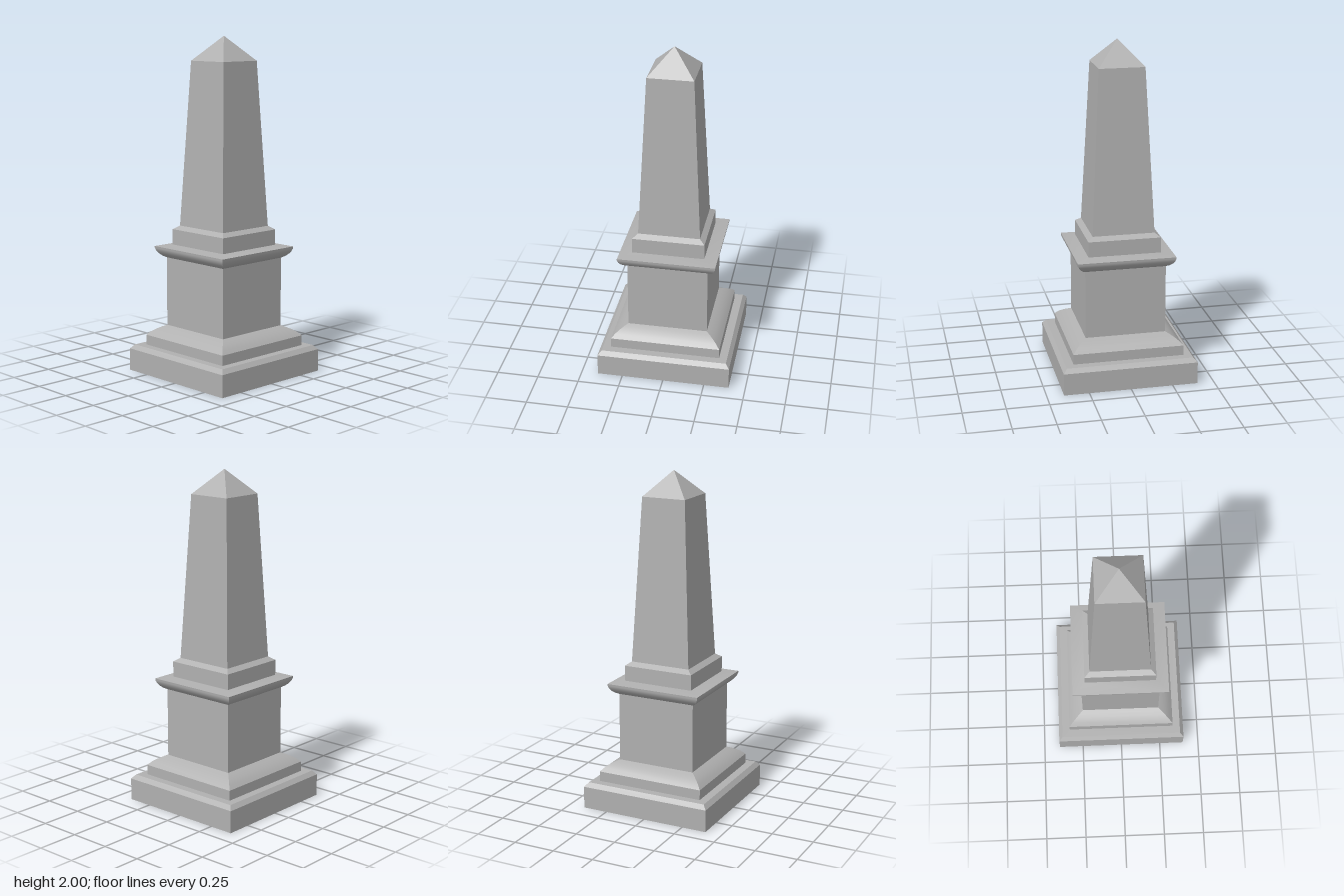
import * as THREE from 'three';
import { toCreasedNormals } from 'three/addons/utils/BufferGeometryUtils.js';

const stone = new THREE.MeshStandardMaterial({ color: 0xb0b0b0, side: THREE.DoubleSide });
stone.name = 'grey stone';

// Square tier swept around y from [half width, height] points, open at both ends
function tier(name, profile) {
  const points = profile.map(([half, y]) => new THREE.Vector2(half * Math.SQRT2, y));
  const lathe = new THREE.LatheGeometry(points, 4, Math.PI / 4);
  const mesh = new THREE.Mesh(toCreasedNormals(lathe, 0.4), stone);
  mesh.name = name;
  return mesh;
}

export function createModel() {
  const model = new THREE.Group();
  model.name = 'obelisk';

  model.add(
    // Hollow stepped base with a chamfered upper edge
    tier('plinth', [[0.4, 0], [0.4, 0.133], [0.378, 0.158], [0.33, 0.158]]),
    // Second step, rounding in to the pedestal
    tier('baseMoulding', [[0.33, 0.158], [0.33, 0.218], [0.309, 0.24], [0.285, 0.257], [0.262, 0.27], [0.24, 0.28]]),
    tier('pedestal', [[0.24, 0.28], [0.24, 0.692]]),
    // Flared cornice with a thin lip
    tier('cornice', [[0.24, 0.692], [0.258, 0.702], [0.273, 0.716], [0.284, 0.732], [0.291, 0.75],
      [0.291, 0.76], [0.215, 0.77]]),
    tier('shaftBase', [[0.215, 0.77], [0.215, 0.862], [0.184, 0.884]]),
    tier('shaft', [[0.184, 0.884], [0.135, 1.856]])
  );

  // Pyramid tip
  const tip = new THREE.ConeGeometry(0.135 * Math.SQRT2, 0.144, 4, 1, true, Math.PI / 4);
  const cap = new THREE.Mesh(toCreasedNormals(tip, 0.4), stone);
  cap.name = 'pyramidCap';
  cap.position.y = 1.928;
  model.add(cap);

  return model;
}
